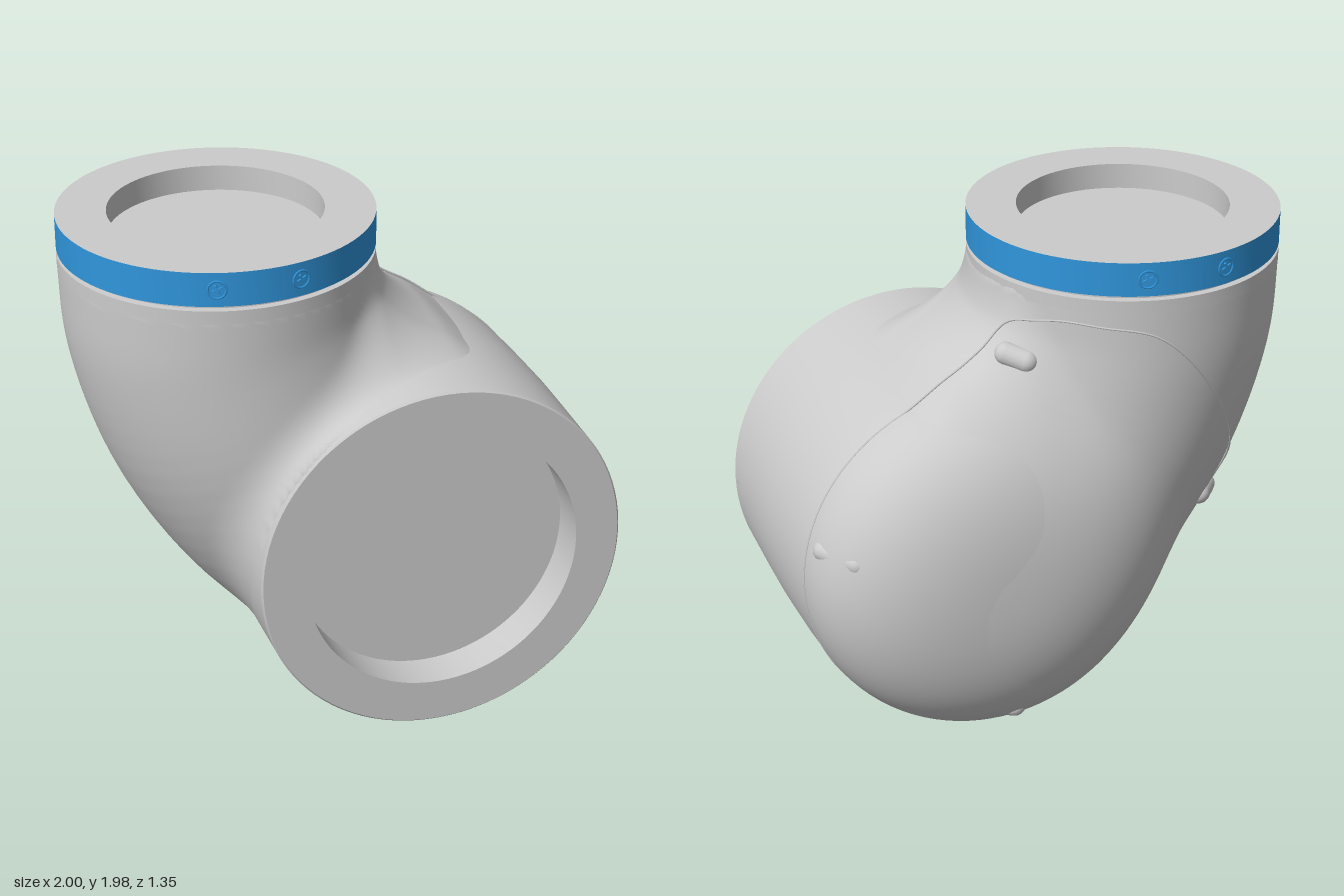
import * as THREE from 'three';
import { mergeVertices, toCreasedNormals } from 'three/addons/utils/BufferGeometryUtils.js';

const grey = new THREE.MeshStandardMaterial({ color: 0xcccccc });
const blue = new THREE.MeshStandardMaterial({ color: 0x3096dc });

const NECK = { x: -0.403, z: -0.03, r: 0.596 };                    // upright flange axis
const HUB = { x: 0.27, y: 0.727, r: 0.714, back: -0.2, dome: 0.475 }; // horizontal housing axis
const SQUARE = 2.5;                                                // squareness of the dome

const { clamp, smoothstep } = THREE.MathUtils;
const vec = (a) => new THREE.Vector3(...a);

function part(name, geometry, material = grey) {
  const mesh = new THREE.Mesh(geometry, material);
  mesh.name = name;
  return mesh;
}

function lathe(profile) {
  const points = profile.map(([r, y]) => new THREE.Vector2(r, y));
  return toCreasedNormals(new THREE.LatheGeometry(points, 96), 0.5);
}

// Horizontal housing: domed back, barrel side, recessed front
function housingGeometry() {
  const dome = [];
  for (let i = 0; i <= 30; i++) {
    const a = (i / 30) * 1.44;
    dome.push([HUB.r * Math.sin(a) ** (2 / SQUARE), HUB.back - HUB.dome * Math.cos(a) ** (2 / SQUARE)]);
  }
  const geo = lathe([
    ...dome, [0.72, -0.1], [0.724, 0.05], [0.727, 0.2], [0.724, 0.4], [0.718, 0.668],
    [0.711, 0.675], [0.54, 0.675], [0.54, 0.515], [0, 0.515],
  ]);
  return geo.rotateX(Math.PI / 2).translate(HUB.x, HUB.y, 0);
}

// Centre line of the bent neck, from the flange down into the housing
const spine = new THREE.CatmullRomCurve3([
  [NECK.x, 2, NECK.z], [NECK.x, 1.75, NECK.z], [-0.388, 1.55, -0.028],
  [-0.28, 1.21, -0.01], [-0.05, 0.85, 0], [0.18, 0.65, 0],
].map(vec)).getPoints(28);
const links = spine.slice(1).map((p, i) => new THREE.Line3(spine[i], p));
const nearest = new THREE.Vector3();

function neckDistance(p) {
  let best = Infinity;
  for (const link of links) {
    link.closestPointToPoint(p, true, nearest);
    best = Math.min(best, nearest.distanceToSquared(p));
  }
  return Math.sqrt(best) - NECK.r + 0.002;
}

// Neck and housing merged with a fillet: wide on the inner bend, tighter elsewhere
function shellDistance(p) {
  const r = Math.hypot(p.x - HUB.x, p.y - HUB.y);
  const depth = Math.max(HUB.back - p.z, 0) / HUB.dome;
  const round = ((r / HUB.r) ** SQUARE + depth ** SQUARE) ** (1 / SQUARE);
  const hub = Math.max((round - 1) * HUB.r + 0.006, p.z - 0.655);
  const neck = neckDistance(p);
  const inner = smoothstep(p.x, -0.2, 0.15) * (1 - smoothstep(p.x, 0.4, 0.75))
    * smoothstep(p.y, 0.9, 1.2) * (1 - smoothstep(Math.abs(p.z), 0.25, 0.62));
  const k = 0.08 + 0.36 * inner + 0.09 * smoothstep(Math.abs(p.z), 0.2, 0.5);
  const h = Math.max(k - Math.abs(hub - neck), 0) / k;
  const merged = Math.min(hub, neck) - (h * h * k) / 4;
  const recess = Math.min(p.z - 0.48, 0.6 - r);
  return Math.max(merged, recess, p.y - 1.825);
}

// Point of the merged surface seen along a direction from inside the bend
const core = new THREE.Vector3(-0.15, 1.1, -0.03);
function surfacePoint(dir, lift = 0) {
  const p = new THREE.Vector3();
  let t = 0.1;
  for (let step = 0; step < 50; step++) {
    p.copy(core).addScaledVector(dir, t);
    t -= clamp(shellDistance(p), -0.1, 0.1) * 0.65;
  }
  return p.copy(core).addScaledVector(dir, t + lift);
}

// Sphere grid pushed outward until it meets the merged surface
function neckGeometry() {
  const sphere = new THREE.SphereGeometry(1, 180, 130);
  sphere.deleteAttribute('uv');
  sphere.deleteAttribute('normal');
  const geo = mergeVertices(sphere);
  const pos = geo.attributes.position;
  const dir = new THREE.Vector3();
  for (let i = 0; i < pos.count; i++) {
    const p = surfacePoint(dir.fromBufferAttribute(pos, i).normalize());
    pos.setXYZ(i, p.x, p.y, p.z);
  }
  geo.computeVertexNormals();
  return geo;
}

// Fine seam line of the back cover, laid onto the merged surface
function seamGeometry() {
  const guide = [];
  for (let deg = -130; deg <= 50; deg += 20) {
    const a = THREE.MathUtils.degToRad(deg);
    guide.push([HUB.x + 0.71 * Math.cos(a), HUB.y + 0.71 * Math.sin(a), -0.26]);
  }
  guide.push(
    [0.45, 1.44, -0.26], [0.27, 1.58, -0.26], [0.19, 1.69, -0.28], [0.1, 1.73, -0.38], [-0.1, 1.73, -0.55],
    [-0.3, 1.68, -0.62], [-0.55, 1.38, -0.58], [-0.7, 1.12, -0.46], [-0.74, 0.95, -0.34],
    [-0.69, 0.8, -0.27], [-0.45, 0.44, -0.26],
  );
  const path = new THREE.CatmullRomCurve3(guide.map(vec), true).getPoints(160).slice(0, -1);
  const laid = path.map((p) => surfacePoint(p.sub(core).normalize(), 0.005));
  return new THREE.TubeGeometry(new THREE.CatmullRomCurve3(laid, true), 320, 0.004, 6, true);
}

// Small cross-head screw facing +z
function bandScrew() {
  const screw = new THREE.Group();
  screw.name = 'bandScrew';
  screw.add(part('screwRim', new THREE.TorusGeometry(0.033, 0.004, 6, 24), blue));
  for (const turn of [0.4, 0.4 + Math.PI / 2]) {
    const bar = part('screwCross', new THREE.BoxGeometry(0.04, 0.009, 0.012), blue);
    bar.rotation.z = turn;
    screw.add(bar);
  }
  return screw;
}

export function createModel() {
  const model = new THREE.Group();
  model.name = 'elbowJoint';
  model.add(part('housing', housingGeometry()), part('neck', neckGeometry()), part('coverSeam', seamGeometry()));

  // Upright flange: collar with groove, coloured band and recessed top
  const flange = new THREE.Group();
  flange.name = 'flange';
  flange.position.set(NECK.x, 0, NECK.z);
  flange.add(
    part('flangeCollar', lathe([[NECK.r, 1.78], [NECK.r, 1.832], [0.57, 1.833], [0.57, 1.85], [NECK.r, 1.85]])),
    part('flangeBand', lathe([[NECK.r, 1.85], [NECK.r, 1.98]]), blue),
    part('flangeTop', lathe([[NECK.r, 1.98], [0.405, 1.98], [0.405, 1.88], [0, 1.88]])),
  );
  for (const side of [0, Math.PI]) {
    for (const offset of [-0.262, 0.262]) {
      const a = side + offset, screw = bandScrew();
      screw.position.set(Math.sin(a) * NECK.r, 1.915, Math.cos(a) * NECK.r);
      screw.rotation.y = a;
      flange.add(screw);
    }
  }
  model.add(flange);

  // Cover bolts lying almost flush in the shell: start and end points of each
  const bolts = [
    [[0.916, 0.9, -0.33], [0.832, 0.9, -0.47]],
    [[0.22, 0.062, -0.34], [0.22, 0.138, -0.48]],
    [[0.19, 1.58, -0.33], [0.13, 1.56, -0.38]],
    [[-0.65, 0.86, -0.31], [-0.6, 0.86, -0.37]],
  ];
  for (const [from, to] of bolts) {
    const a = vec(from), b = vec(to), dir = b.clone().sub(a);
    const bolt = part('coverBolt', new THREE.CapsuleGeometry(0.045, dir.length(), 6, 16));
    bolt.position.copy(a).add(b).multiplyScalar(0.5);
    bolt.quaternion.setFromUnitVectors(new THREE.Vector3(0, 1, 0), dir.normalize());
    model.add(bolt);
  }

  // Alignment arrow on the left flank
  const arrow = part('alignmentArrow', new THREE.CylinderGeometry(0.025, 0.025, 0.008, 3));
  arrow.rotation.set(0, Math.PI, Math.PI / 2);
  arrow.scale.x = 0.5;
  arrow.position.set(0.988, 0.73, 0.63);
  model.add(arrow);
  return model;
}
